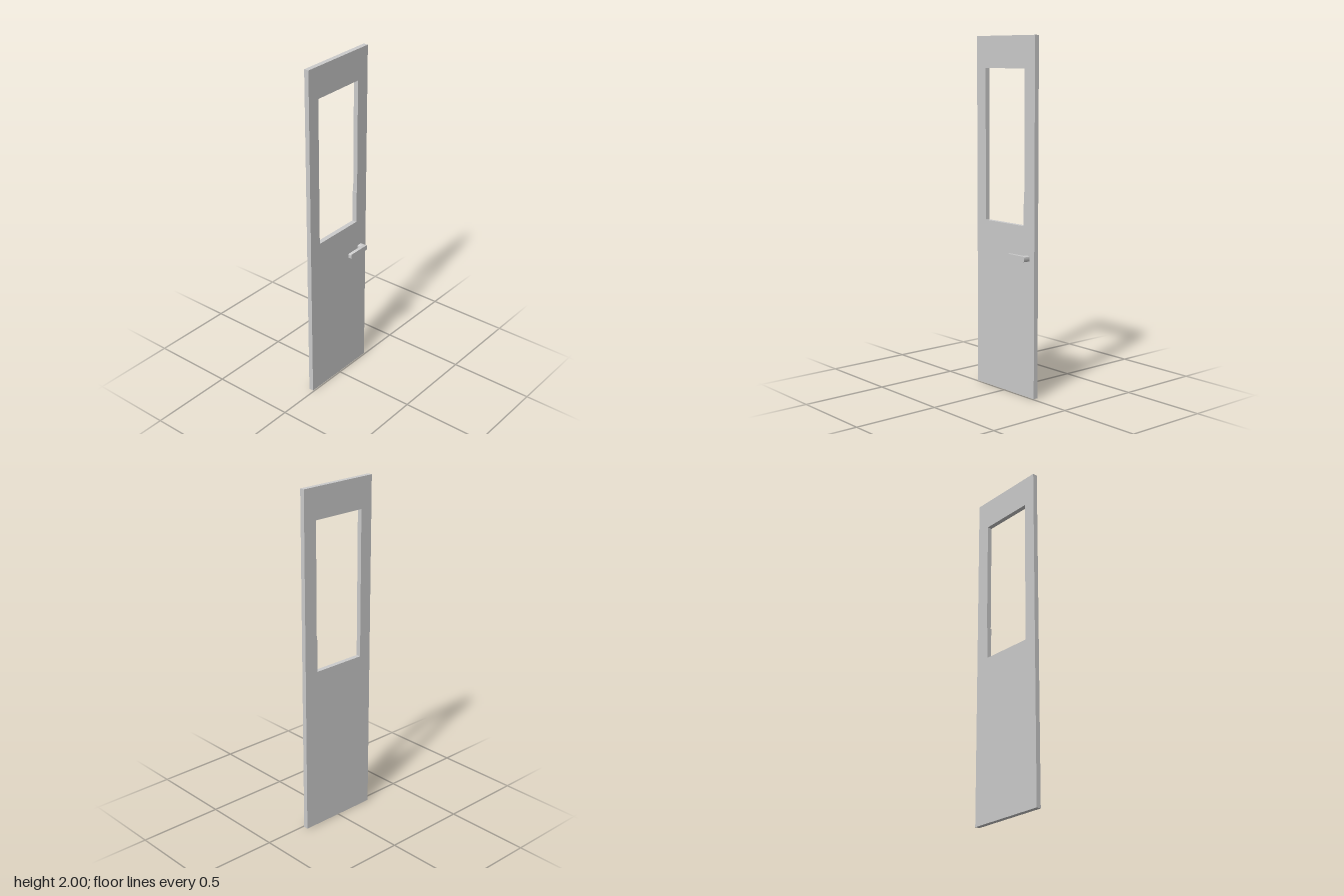
import * as THREE from 'three';
import { toCreasedNormals } from 'three/addons/utils/BufferGeometryUtils.js';

const material = new THREE.MeshStandardMaterial({ color: 0xcccccc });

// Extrudes a side outline (u = -z, v = y) across the thickness from x0 to x1.
function slab(name, shape, x0, x1) {
  const extruded = new THREE.ExtrudeGeometry(shape, { depth: x1 - x0, bevelEnabled: false, curveSegments: 6 });
  const geometry = toCreasedNormals(extruded, 0.6);
  geometry.rotateY(Math.PI / 2);
  geometry.translate(x0, 0, 0);
  const mesh = new THREE.Mesh(geometry, material);
  mesh.name = name;
  return mesh;
}

const outline = (points) => points.map(([u, v]) => new THREE.Vector2(u, v));

// Rectangle with small rounded corners.
function roundedBar(u0, u1, v0, v1, r) {
  const s = new THREE.Shape();
  s.absarc(u1 - r, v0 + r, r, -Math.PI / 2, 0);
  s.absarc(u1 - r, v1 - r, r, 0, Math.PI / 2);
  s.absarc(u0 + r, v1 - r, r, Math.PI / 2, Math.PI);
  s.absarc(u0 + r, v0 + r, r, Math.PI, Math.PI * 1.5);
  s.closePath();
  return s;
}

export function createModel() {
  const door = new THREE.Group();
  door.name = 'door';

  // Door leaf with a window opening that narrows slightly near its sill
  const leaf = new THREE.Shape(outline([[-0.243, 0], [0.243, 0], [0.243, 2], [-0.243, 2]]));
  leaf.holes.push(new THREE.Path(outline([
    [-0.168, 0.963], [-0.168, 1.822], [0.161, 1.822], [0.161, 1.152], [0.156, 1.152], [0.156, 0.963],
  ])));
  door.add(slab('doorLeaf', leaf, -0.035, -0.007));

  // Lever handle: short post off the leaf and a long grip
  const handle = new THREE.Group();
  handle.name = 'handle';
  handle.add(
    slab('handlePost', roundedBar(0.171, 0.205, 0.772, 0.803, 0.006), -0.007, 0.014),
    slab('handleGrip', roundedBar(0.06, 0.205, 0.772, 0.803, 0.006), 0.014, 0.034),
  );
  door.add(handle);

  return door;
}
